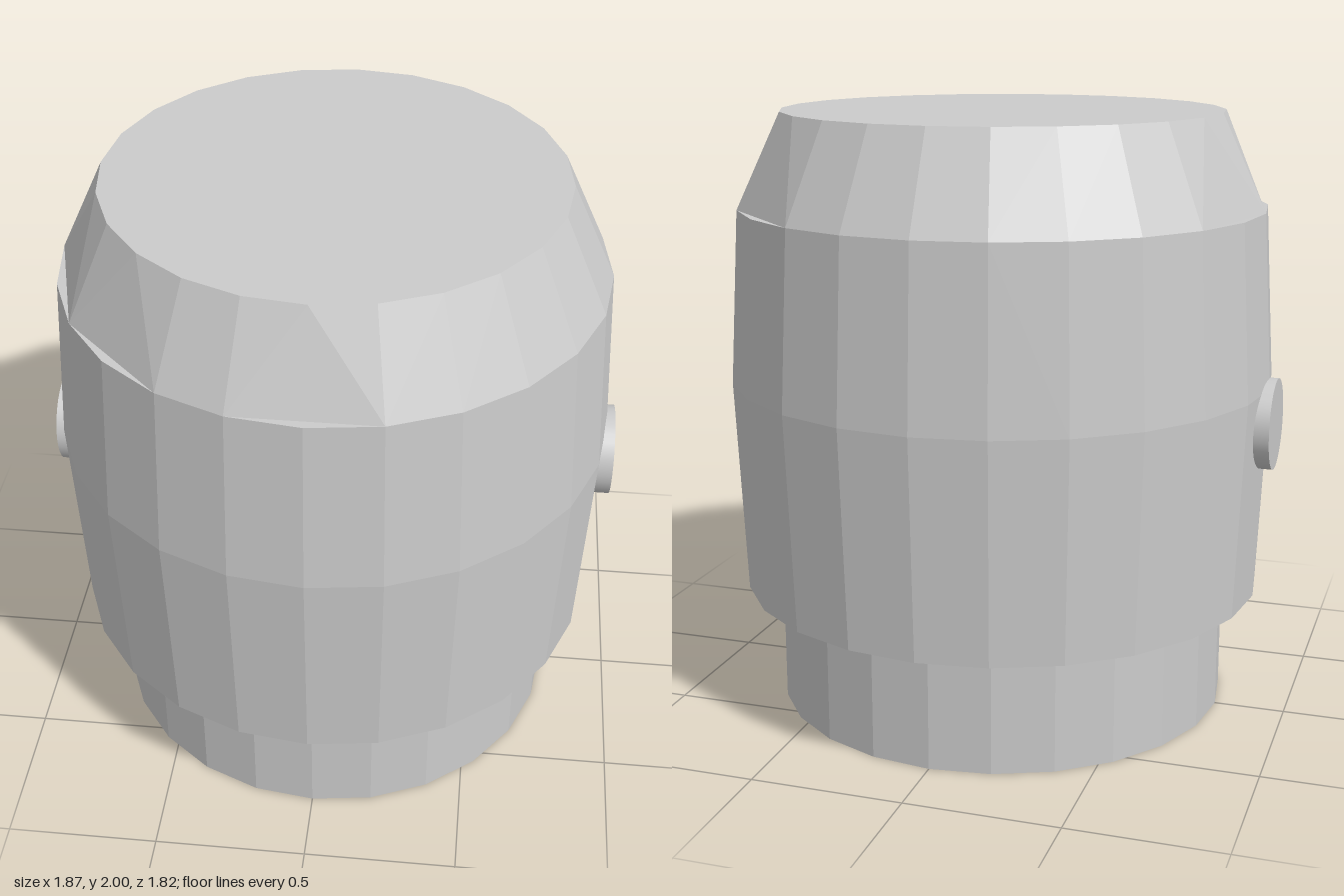
import * as THREE from 'three';

const SIDES = 24;
const material = new THREE.MeshStandardMaterial({ color: 0xcccccc, flatShading: true });

function addMesh(parent, name, geometry, mat = material) {
  const mesh = new THREE.Mesh(geometry, mat);
  mesh.name = name;
  parent.add(mesh);
  return mesh;
}

function lathe(profile) {
  return new THREE.LatheGeometry(profile.map(([r, y]) => new THREE.Vector2(r, y)), SIDES);
}

function ringPoint(i, radius, y) {
  const a = (i / SIDES) * Math.PI * 2;
  return [Math.cos(a) * radius, y, Math.sin(a) * radius];
}

// Sloped shoulder; at each notch the lower corner is cut back to a straight chord, leaving a small ledge
function shoulderGeometry(low, high, notches) {
  const cut = new Set(notches.map((i) => i % SIDES));
  const flat = Math.cos((Math.PI * 2) / SIDES);
  const bottom = (i) => ringPoint(i, low.r * (cut.has(i % SIDES) ? flat : 1), low.y);
  const top = (i) => ringPoint(i, high.r, high.y);
  const positions = [];
  const triangle = (...corners) => positions.push(...corners.flat());

  for (let i = 0; i < SIDES; i++) {
    const b0 = bottom(i), b1 = bottom(i + 1), t0 = top(i), t1 = top(i + 1);
    if (cut.has((i + 1) % SIDES)) {
      triangle(b1, b0, t1);
      triangle(b0, t0, t1);
    } else {
      triangle(b1, b0, t0);
      triangle(b1, t0, t1);
    }
    // Ledge above the uncut corner of the body
    if (cut.has(i)) triangle(bottom(i + 1), ringPoint(i, low.r, low.y), bottom(i - 1 + SIDES));
  }
  const geometry = new THREE.BufferGeometry();
  geometry.setAttribute('position', new THREE.Float32BufferAttribute(positions, 3));
  geometry.computeVertexNormals();
  return geometry;
}

export function createModel() {
  const model = new THREE.Group();
  model.name = 'cappedBarrel';

  // Narrow foot with a shallow recess underneath
  addMesh(model, 'base', lathe([[0, 0.02], [0.745, 0.02], [0.745, 0], [0.765, 0], [0.765, 0.41]]));

  // Slightly bulging body
  addMesh(model, 'body', lathe([[0.75, 0.405], [0.88, 0.405], [0.91, 1.12], [0.876, 1.69]]));

  // Notched shoulder and flat lid
  addMesh(model, 'shoulder', shoulderGeometry({ r: 0.876, y: 1.69 }, { r: 0.73, y: 2 }, [6, 9, 11, 13, 21]));
  const lid = addMesh(model, 'lid', new THREE.CircleGeometry(0.73, SIDES));
  lid.rotation.x = -Math.PI / 2;
  lid.position.y = 2;

  // Round button on each side
  const buttonMaterial = new THREE.MeshStandardMaterial({ color: 0xcccccc });
  for (const side of [1, -1]) {
    const button = addMesh(model, side > 0 ? 'leftButton' : 'rightButton',
      new THREE.CylinderGeometry(0.15, 0.15, 0.085, 32), buttonMaterial);
    button.rotation.z = -side * Math.PI / 2;
    button.position.set(side * 0.8925, 1.005, 0);
  }
  return model;
}
